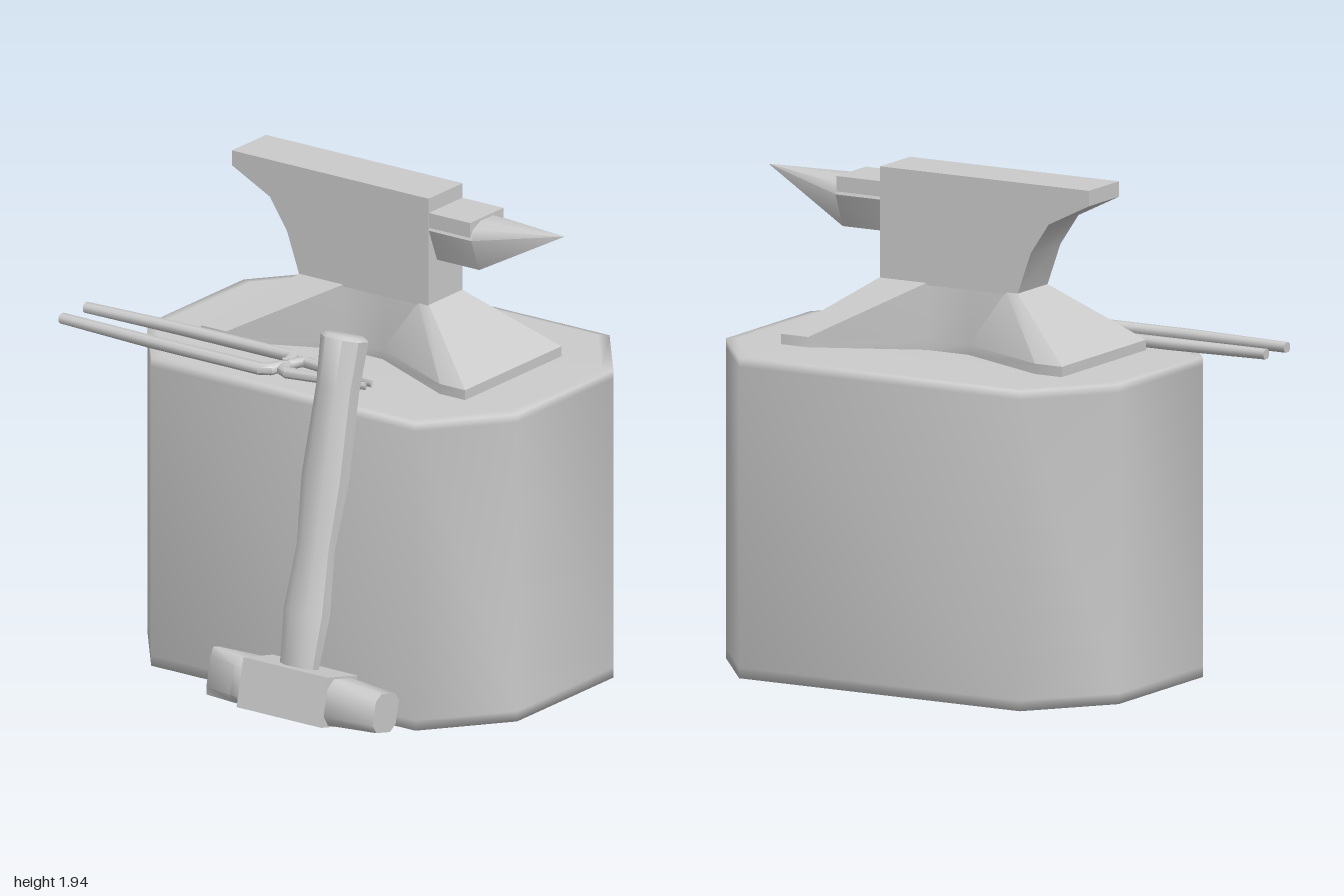
import * as THREE from 'three';
import { toCreasedNormals, mergeVertices } from 'three/addons/utils/BufferGeometryUtils.js';

const material = new THREE.MeshStandardMaterial({ color: 0xcccccc });

function mesh(name, geometry) {
  const m = new THREE.Mesh(geometry, material);
  m.name = name;
  return m;
}

// Skins closed rings of [x, y, z] points and caps both ends; always faces outward.
function loft(rings, crease) {
  const n = rings[0].length;
  const pos = rings.flat(2);
  const index = [];
  for (let r = 0; r < rings.length - 1; r++) {
    for (let i = 0; i < n; i++) {
      const a = r * n + i, b = r * n + (i + 1) % n;
      index.push(a, b, b + n, a, b + n, a + n);
    }
  }
  [0, rings.length - 1].forEach((r, end) => {
    const centre = pos.length / 3;
    for (let k = 0; k < 3; k++) pos.push(rings[r].reduce((s, p) => s + p[k], 0) / n);
    for (let i = 0; i < n; i++) {
      const a = r * n + i, b = r * n + (i + 1) % n;
      if (end) index.push(a, b, centre);
      else index.push(b, a, centre);
    }
  });
  // signed volume decides the winding
  const v = (i) => new THREE.Vector3().fromArray(pos, i * 3);
  let volume = 0;
  for (let i = 0; i < index.length; i += 3) {
    volume += v(index[i]).dot(v(index[i + 1]).cross(v(index[i + 2])));
  }
  if (volume < 0) index.reverse();
  const g = new THREE.BufferGeometry();
  g.setAttribute('position', new THREE.Float32BufferAttribute(pos, 3));
  g.setIndex(index);
  if (crease) return toCreasedNormals(g, crease);
  const smooth = mergeVertices(g);
  smooth.computeVertexNormals();
  return smooth;
}

// Octagon with half sizes a, b and corner cut c (a share of each half size)
function octagon(a, b, c) {
  const k = 1 - c;
  return [[a, k * b], [k * a, b], [-k * a, b], [-a, k * b],
    [-a, -k * b], [-k * a, -b], [k * a, -b], [a, -k * b]];
}

// Eight-sided bar lying flat along points of [x, z, half width, half height]
function bar(path, y) {
  const rings = path.map(([x, z, w, h], i) => {
    const p = path[Math.max(i - 1, 0)], q = path[Math.min(i + 1, path.length - 1)];
    const d = new THREE.Vector2(q[0] - p[0], q[1] - p[1]).normalize();
    return octagon(w, h, 0.5).map(([s, t]) => [x - d.y * s, y + t, z + d.x * s]);
  });
  return loft(rings, 0.9);
}

function makeStump() {
  const outline = [[0.875, 0.31], [0.625, 0.625], [-0.625, 0.625], [-0.875, 0.31],
    [-0.875, -0.31], [-0.625, -0.625], [0.625, -0.625], [0.875, -0.31]];
  // close rings near the rims keep the smooth shading tight
  const levels = [[0.94, 0], [1, 0.004], [1, 0.045], [1, 1.215], [1, 1.246], [0.95, 1.25]];
  const rings = levels.map(([s, y]) => outline.map(([x, z]) => [0.125 + x * s, y, -0.205 + z * s]));
  return mesh('stump', loft(rings));
}

function makeAnvil() {
  const anvil = new THREE.Group();
  anvil.name = 'anvil';
  anvil.position.z = -0.21;

  // waisted foot: [x, half depth] at the floor and at the neck
  const mirror = (half) => [...half, ...half.map(([x, z]) => [x, -z]).reverse()];
  const foot = mirror([[-0.5, 0.31], [-0.38, 0.31], [0.03, 0.12], [0.22, 0.12], [0.63, 0.31], [0.75, 0.31]]);
  const neck = mirror([[-0.18, 0.108], [-0.13, 0.108], [0.03, 0.108], [0.22, 0.108], [0.38, 0.108], [0.43, 0.108]]);
  const at = (pts, y) => pts.map(([x, z]) => [x, y, z]);
  anvil.add(mesh('foot', loft([at(foot, 1.25), at(foot, 1.29), at(neck, 1.51)], 0.6)));

  // body with the curved heel
  const s = new THREE.Shape();
  s.moveTo(-0.18, 1.5);
  s.lineTo(0.43, 1.5);
  s.lineTo(0.43, 1.94);
  s.lineTo(-0.5, 1.94);
  s.lineTo(-0.5, 1.88);
  s.lineTo(-0.32, 1.79);
  s.lineTo(-0.24, 1.67);
  const body = new THREE.ExtrudeGeometry(s, { depth: 0.22, bevelEnabled: false });
  body.translate(0, 0, -0.11);
  anvil.add(mesh('body', toCreasedNormals(body, 0.6)));

  // step between face and horn
  const step = new THREE.BoxGeometry(0.2, 0.06, 0.216);
  step.translate(0.525, 1.852, 0);
  anvil.add(mesh('step', step));

  // horn running up to a point
  const section = [[0.04, 1.872], [0.09, 1.85], [0.108, 1.81], [0.055, 1.678],
    [-0.055, 1.678], [-0.108, 1.81], [-0.09, 1.85], [-0.04, 1.872]];
  const horn = [[0.42, 1], [0.63, 1], [0.99, 0.01]].map(([x, k]) =>
    section.map(([z, y]) => [x, 1.874 + (y - 1.874) * k, z * k]));
  anvil.add(mesh('horn', loft(horn, 0.8)));
  return anvil;
}

function makeTongs() {
  const tongs = new THREE.Group();
  tongs.name = 'tongs';
  tongs.position.z = 0.237;
  // two mirrored arms crossing at the rivet
  for (const side of [1, -1]) {
    const path = [[-1, -0.077, 0.021, 0.019], [-0.58, -0.092, 0.024, 0.022], [-0.05, -0.092, 0.024, 0.022],
      [-0.02, -0.075, 0.024, 0.022], [0.03, 0.06, 0.02, 0.018], [0.055, 0.07, 0.022, 0.02],
      [0.395, 0.018, 0.006, 0.014]];
    tongs.add(mesh('tongArm', bar(path.map(([x, z, w, h]) => [x, z * side, w, h]), 1.275)));
  }
  const rivet = new THREE.CylinderGeometry(0.014, 0.014, 0.05, 8);
  rivet.translate(0.002, 1.275, 0);
  tongs.add(mesh('rivet', rivet));
  return tongs;
}

function makeHammer() {
  const hammer = new THREE.Group();
  hammer.name = 'hammer';
  // leaning against the stump
  hammer.position.set(0.4, 0.172, 0.706);
  hammer.rotation.x = -0.23;

  hammer.add(mesh('headBlock', new THREE.BoxGeometry(0.4, 0.195, 0.195)));

  // stations of [x, half height, half depth, corner cut]
  const along = (list) => list.map(([x, h, d, c]) => octagon(h, d, c).map(([y, z]) => [x, y, z]));
  hammer.add(mesh('peen', loft(along([[-0.4, 0.093, 0.026, 0.35], [-0.24, 0.09, 0.094, 0.35], [-0.19, 0.09, 0.094, 0.35]]), 0.85)));
  hammer.add(mesh('strikingFace', loft(along([[0.19, 0.091, 0.091, 0.4], [0.42, 0.076, 0.076, 0.4]]), 0.85)));

  // shaped handle: [height, half width, half depth]
  const grip = [[0.08, 0.076, 0.045], [0.31, 0.09, 0.06], [0.56, 0.075, 0.047], [0.83, 0.09, 0.068],
    [1.18, 0.08, 0.068], [1.375, 0.09, 0.073], [1.388, 0.075, 0.06]];
  hammer.add(mesh('handle', loft(grip.map(([y, w, d]) => octagon(w, d, 0.55).map(([x, z]) => [x - 0.005, y, z])), 0.85)));
  return hammer;
}

export function createModel() {
  const model = new THREE.Group();
  model.name = 'anvilOnStump';
  model.add(makeStump(), makeAnvil(), makeTongs(), makeHammer());
  return model;
}
